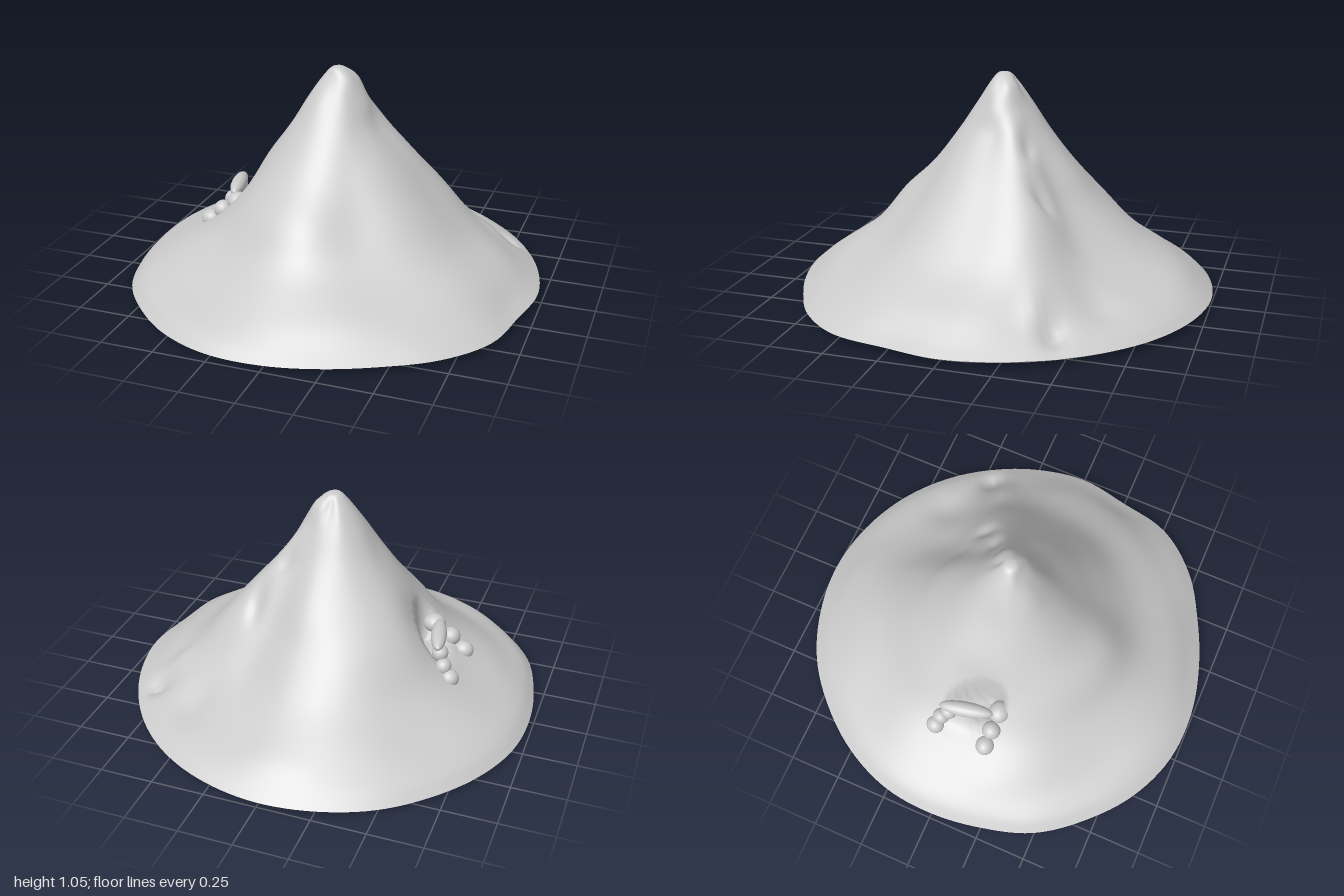
import * as THREE from 'three';

const material = new THREE.MeshStandardMaterial({ color: 0xcccccc });
const SEGMENTS = 144;
const RINGS = 54;

// Foot radius every 15 degrees, from +x towards +z
const OUTLINE = [0.98, 0.97, 1.01, 1.0, 0.97, 0.97, 0.99, 1.01, 1.01, 1.0, 1.0, 0.98,
  0.98, 0.99, 0.99, 0.99, 1.0, 1.0, 1.0, 0.99, 0.98, 0.97, 0.965, 0.97];

// Slope radius every 30 degrees, one row per height
const LEVELS = [
  [1.0, [0.08, 0.08, 0.07, 0.06, 0.06, 0.07, 0.07, 0.07, 0.07, 0.06, 0.08, 0.09]],
  [0.9, [0.14, 0.13, 0.13, 0.13, 0.14, 0.14, 0.14, 0.14, 0.14, 0.13, 0.13, 0.14]],
  [0.78, [0.19, 0.19, 0.2, 0.21, 0.22, 0.22, 0.21, 0.22, 0.22, 0.21, 0.2, 0.23]],
  [0.6, [0.35, 0.34, 0.32, 0.35, 0.36, 0.35, 0.34, 0.36, 0.36, 0.35, 0.31, 0.38]],
  [0.45, [0.48, 0.47, 0.44, 0.5, 0.49, 0.46, 0.42, 0.48, 0.49, 0.46, 0.4, 0.51]],
  [0.28, [0.64, 0.63, 0.61, 0.64, 0.62, 0.61, 0.58, 0.62, 0.64, 0.64, 0.54, 0.65]],
  [0.15, [0.82, 0.83, 0.81, 0.84, 0.8, 0.8, 0.81, 0.81, 0.83, 0.85, 0.75, 0.79]],
];

// Smooth periodic interpolation around the mountain
function around(values, angle) {
  const n = values.length;
  const t = (angle / (Math.PI * 2)) * n;
  const i = Math.floor(t);
  const f = t - i;
  const at = (k) => values[(((i + k) % n) + n) % n];
  const [a, b, c, d] = [at(-1), at(0), at(1), at(2)];
  return b + 0.5 * f * (c - a + f * (2 * a - 5 * b + 4 * c - d + f * (3 * (b - c) + d - a)));
}

const bump = (x, z, cx, cz, rx, rz) => Math.exp(-(((x - cx) / rx) ** 2) - ((z - cz) / rz) ** 2);

// Local erosion: hollow, gully cracks, shelf and gentle undulation
function erode(p) {
  const { x, z } = p;
  const d = Math.hypot((x + 0.48 - 0.4 * (z - 0.02)) / 0.08, (z - 0.02) / 0.13);
  const hollow = 1 - THREE.MathUtils.smoothstep(d, 0.8, 1.1);
  p.y = THREE.MathUtils.lerp(p.y, Math.min(p.y, 0.28), hollow);
  p.y -= 0.04 * bump(x, z, 0.17, -0.16, 0.05, 0.03);
  p.y -= 0.04 * bump(x, z, 0.29, -0.26, 0.04, 0.05);
  p.y -= 0.03 * bump(x, z, 0.48, -0.56, 0.1, 0.12);
  p.y -= 0.05 * bump(x, z, 0.74, -0.44, 0.06, 0.04);
  p.y += 0.03 * bump(x, z, 0.68, -0.34, 0.09, 0.05);
  const r = Math.hypot(x, z);
  const fade = THREE.MathUtils.smoothstep(r, 0.1, 0.35) * (1 - THREE.MathUtils.smoothstep(r, 0.75, 0.95));
  p.y += 0.006 * fade * (Math.sin(9 * x + 4 * z) + Math.sin(11 * z - 5 * x + 1));
  return p;
}

// Height of the rim rises slightly towards +x
const rimHeight = (x) => 0.026 + 0.01 * x;

function mountainGeometry() {
  const positions = [];
  const indices = [];
  for (let s = 0; s < SEGMENTS; s++) {
    const angle = (s / SEGMENTS) * Math.PI * 2;
    const cos = Math.cos(angle);
    const sin = Math.sin(angle);
    const rim = around(OUTLINE, angle);
    const profile = new THREE.CatmullRomCurve3([
      new THREE.Vector3(0, 1.05, 0),
      new THREE.Vector3(0.03, 1.043, 0),
      ...LEVELS.map(([y, radii]) => new THREE.Vector3(around(radii, angle), y, 0)),
      new THREE.Vector3(rim * 0.945, 0.072, 0),
      new THREE.Vector3(rim, rimHeight(rim * cos), 0),
    ], false, 'centripetal');
    for (let r = 0; r <= RINGS; r++) {
      const q = profile.getPoint(r / RINGS);
      const p = erode(new THREE.Vector3(q.x * cos, q.y, q.x * sin));
      positions.push(p.x, p.y, p.z);
      if (r === RINGS) continue;
      const a = s * (RINGS + 1) + r;
      const b = ((s + 1) % SEGMENTS) * (RINGS + 1) + r;
      if (r > 0) indices.push(a, b, a + 1);
      indices.push(b, b + 1, a + 1);
    }
  }
  // All profiles share one summit vertex
  const geometry = new THREE.BufferGeometry();
  geometry.setAttribute('position', new THREE.Float32BufferAttribute(positions, 3));
  geometry.setIndex(indices.map((i) => (i % (RINGS + 1) === 0 ? 0 : i)));
  geometry.computeVertexNormals();
  return geometry;
}

// Shallow bevel under the rim and a nearly flat underside
function baseGeometry() {
  const positions = [0, 0.005, 0];
  const indices = [];
  for (let s = 0; s < SEGMENTS; s++) {
    const angle = (s / SEGMENTS) * Math.PI * 2;
    const r = around(OUTLINE, angle);
    const x = r * Math.cos(angle);
    const z = r * Math.sin(angle);
    positions.push(x, rimHeight(x), z, x * 0.96, 0.007 + 0.007 * x, z * 0.96);
    const a = 1 + s * 2;
    const b = 1 + ((s + 1) % SEGMENTS) * 2;
    indices.push(a, b, a + 1, b, b + 1, a + 1, 0, a + 1, b + 1);
  }
  const geometry = new THREE.BufferGeometry();
  geometry.setAttribute('position', new THREE.Float32BufferAttribute(positions, 3));
  geometry.setIndex(indices);
  geometry.computeVertexNormals();
  return geometry;
}

export function createModel() {
  const group = new THREE.Group();
  const add = (parent, name, geometry) => {
    const mesh = new THREE.Mesh(geometry, material);
    mesh.name = name;
    parent.add(mesh);
    return mesh;
  };
  add(group, 'mountain', mountainGeometry());
  add(group, 'base', baseGeometry());

  // Stone arch framing the hollow: centre and half sizes of each stone
  const arch = new THREE.Group();
  arch.name = 'stoneArch';
  group.add(arch);
  const stone = new THREE.SphereGeometry(1, 20, 14);
  const stones = [
    ['backPostStone', -0.61, 0.25, -0.13, 0.045, 0.045, 0.045],
    ['backPostStone', -0.575, 0.3, -0.115, 0.038, 0.04, 0.04],
    ['backPostStone', -0.55, 0.35, -0.085, 0.038, 0.04, 0.04],
    ['frontPostStone', -0.61, 0.25, 0.13, 0.05, 0.045, 0.045],
    ['frontPostStone', -0.545, 0.31, 0.135, 0.045, 0.045, 0.045],
    ['frontPostStone', -0.46, 0.365, 0.14, 0.055, 0.045, 0.05],
    ['lintelStone', -0.52, 0.395, -0.005, 0.037, 0.035, 0.13],
  ];
  for (const [name, x, y, z, sx, sy, sz] of stones) {
    const mesh = add(arch, name, stone);
    mesh.position.set(x, y, z);
    mesh.scale.set(sx, sy, sz);
    if (name === 'lintelStone') mesh.rotation.y = 0.22;
  }
  return group;
}
